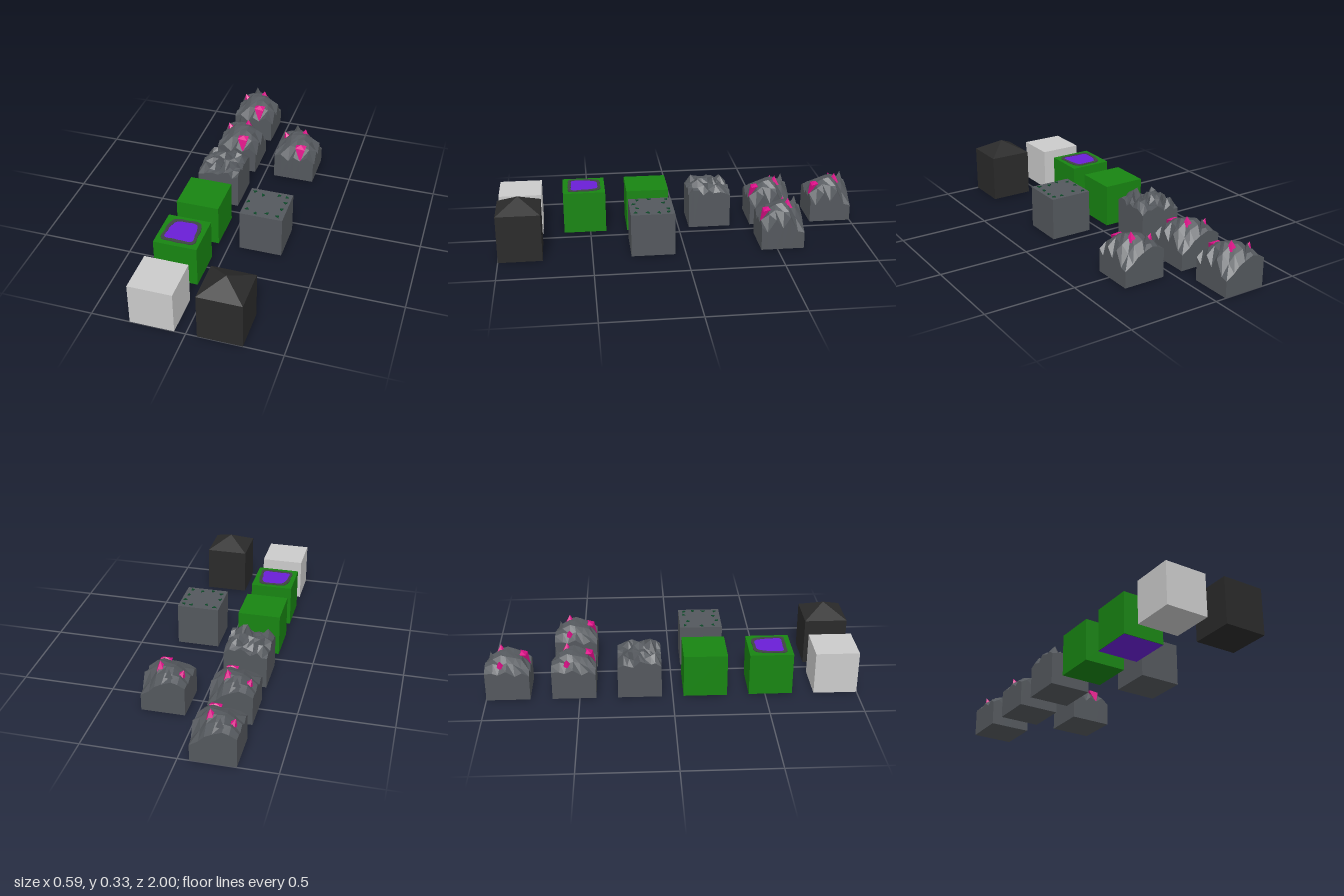
import * as THREE from 'three';
import { ConvexGeometry } from 'three/addons/geometries/ConvexGeometry.js';

const S = 0.235; // side of every block
const mat = (color) => new THREE.MeshStandardMaterial({ color, flatShading: true });
const STONE = mat(0x54585d), BLACK = mat(0x2a2a2a), GREEN = mat(0x188512), PALE = mat(0xcccccc),
  PURPLE = mat(0x6a1fd6), PINK = mat(0xdc0f88), RIM = mat(0x3f4544), MOSS = mat(0x0f4a2a);

function mesh(name, geometry, material, x = 0, y = 0, z = 0) {
  const m = new THREE.Mesh(geometry, material);
  m.name = name;
  m.position.set(x, y, z);
  return m;
}

function tile(name, x, z, ...parts) {
  const g = new THREE.Group();
  g.name = name;
  g.position.set(x, 0, z);
  g.add(...parts);
  return g;
}

const cube = (name, material, h = 0.236, y0 = 0) =>
  mesh(name, new THREE.BoxGeometry(S, h - y0, S), material, 0, (h + y0) / 2, 0);

// Repeatable noise in 0..1
const noise = (i, j, k) => {
  const s = Math.sin(i * 127.1 + j * 311.7 + k * 74.7) * 43758.5453;
  return s - Math.floor(s);
};

// Box whose top is raised to a height per grid point (row 0 is the back)
function rockGeometry(n, height, jitter) {
  const geo = new THREE.BoxGeometry(S, 1, S, n, 1, n);
  const p = geo.attributes.position;
  for (let v = 0; v < p.count; v++) {
    const i = Math.round((p.getX(v) / S + 0.5) * n), j = Math.round((p.getZ(v) / S + 0.5) * n);
    if (p.getY(v) < 0) { p.setY(v, 0); continue; }
    p.setY(v, height(i, j));
    if (i > 0 && i < n) p.setX(v, p.getX(v) + (noise(i, j, 1) - 0.5) * jitter);
    if (j > 0 && j < n) p.setZ(v, p.getZ(v) + (noise(i, j, 2) - 0.5) * jitter);
  }
  const flat = geo.toNonIndexed();
  flat.computeVertexNormals();
  return flat;
}

// Crag with pink crystals
const CRAG = [
  [0.16, 0.18, 0.19, 0.17, 0.15, 0.12, 0.09],
  [0.16, 0.20, 0.21, 0.22, 0.20, 0.16, 0.10],
  [0.15, 0.19, 0.23, 0.235, 0.235, 0.20, 0.18],
  [0.17, 0.20, 0.225, 0.235, 0.24, 0.20, 0.12],
  [0.14, 0.19, 0.21, 0.22, 0.23, 0.21, 0.17],
  [0.16, 0.17, 0.20, 0.20, 0.21, 0.19, 0.10],
  [0.14, 0.16, 0.12, 0.15, 0.13, 0.16, 0.13],
];
const cragGeometry = rockGeometry(6, (i, j) => CRAG[j][i], 0.016);
const hull = (points) => new ConvexGeometry(points.map((p) => new THREE.Vector3(...p)));
const frontCrystal = hull([[0, 0.205, 0.06], [0.062, 0.21, 0.062], [0.03, 0.217, 0.072],
  [0.002, 0.203, 0.095], [0.06, 0.2, 0.1], [0.038, 0.125, 0.117], [0.03, 0.14, 0.07]]);

function crystalCrag(x, z) {
  const gem = (name, px, py, pz, r, h, tilt) => {
    const g = mesh(name, new THREE.ConeGeometry(r, h, 5), PINK, px, py, pz);
    g.rotation.z = tilt;
    return g;
  };
  return tile('crystalCrag', x, z,
    mesh('crag', cragGeometry, STONE),
    mesh('frontCrystal', frontCrystal, PINK),
    gem('topCrystal', 0.028, 0.235, -0.036, 0.031, 0.052, -0.1),
    gem('sideCrystal', -0.083, 0.195, -0.035, 0.031, 0.055, 0.4),
    mesh('stoneSpike', new THREE.ConeGeometry(0.025, 0.05, 3), STONE, -0.03, 0.225, -0.085));
}

// Rough boulder top: noisy bumps, one tall ridge near the front
function rubbleHeight(i, j) {
  const edge = i === 0 || j === 0 || i === 8 || j === 8;
  if ((i === 5 || i === 6) && j === 6) return i === 5 ? 0.27 : 0.264;
  if (i === 4 && j === 3) return 0.257;
  return edge ? 0.178 + 0.045 * noise(i, j, 3) : 0.195 + 0.056 * noise(i, j, 4);
}

// Wavy closed outline for the pool
function blob(r, wave) {
  const pts = [];
  for (let k = 0; k < 40; k++) {
    const a = (k / 40) * Math.PI * 2, c = Math.cos(a), s = Math.sin(a);
    const sq = r / Math.pow(c ** 6 + s ** 6, 1 / 6);
    const q = sq * (1 - wave * (0.5 + 0.5 * Math.sin(3 * a + 0.3)) + 0.03 * Math.sin(7 * a));
    pts.push(new THREE.Vector2(c * q, s * q));
  }
  return pts;
}
function slab(shape, depth) {
  return new THREE.ExtrudeGeometry(shape, { depth, bevelEnabled: false }).rotateX(-Math.PI / 2);
}

function poolTile(x, z) {
  const rim = new THREE.Shape(blob(0.094, 0.06));
  const inner = blob(0.079, 0.12);
  rim.holes.push(new THREE.Path(inner));
  const base = mesh('poolUnderside', new THREE.PlaneGeometry(S, S), PURPLE);
  base.rotation.x = Math.PI / 2;
  return tile('poolTile', x, z, base,
    cube('grassBlock', GREEN, 0.236, 0.002),
    mesh('poolRim', slab(rim, 0.005), RIM, 0, 0.2355, 0),
    mesh('poolLiquid', slab(new THREE.Shape(inner), 0.003), PURPLE, 0, 0.2355, 0));
}

// Stone block with mossy chips scattered round the border
function mossTile(x, z) {
  const spots = [[-0.09, -0.09], [-0.04, -0.07], [0.045, -0.09], [0.09, -0.085], [-0.1, 0.005],
    [-0.09, 0.07], [-0.035, 0.095], [0.025, 0.08], [0.085, 0.09], [0.09, 0.025], [0.095, -0.035]];
  const chips = spots.map(([px, pz], k) => {
    const chip = mesh('mossChip', new THREE.CylinderGeometry(0.014, 0.014, 0.005, 3), MOSS, px, 0.238, pz);
    chip.rotation.y = k * 1.9;
    chip.scale.z = 0.75;
    return chip;
  });
  return tile('mossTile', x, z, cube('stoneBlock', STONE), ...chips);
}

export function createModel() {
  const model = new THREE.Group();
  model.name = 'terrainTiles';
  const L = -0.177, R = 0.176;

  // Dark block with a pyramid cap
  const cap = new THREE.ConeGeometry(S / Math.SQRT2, 0.066, 4).rotateY(Math.PI / 4);
  model.add(
    tile('paleTile', L, 0.882, cube('paleBlock', PALE)),
    tile('darkTile', R, 0.882, cube('darkBlock', BLACK, 0.26), mesh('pyramidCap', cap, BLACK, 0, 0.293, 0)),
    poolTile(L, 0.529),
    tile('grassTile', L, 0.176, cube('grassBlock', GREEN)),
    mossTile(R, 0.176),
    tile('rubbleTile', L, -0.177, mesh('rubble', rockGeometry(8, rubbleHeight, 0.014), STONE)),
    crystalCrag(L, -0.529),
    crystalCrag(R, -0.529),
    crystalCrag(L, -0.882));
  return model;
}
